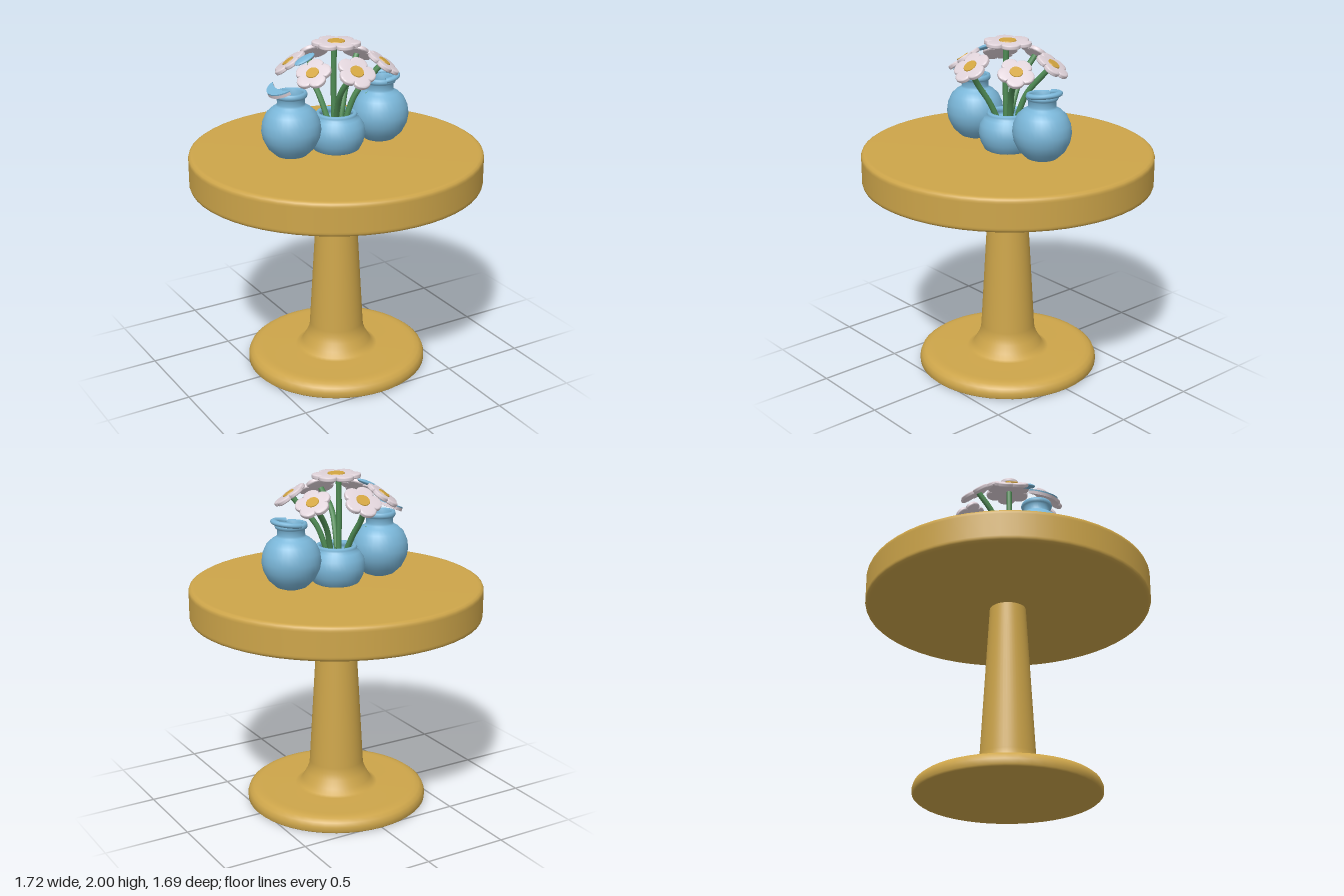
import * as THREE from 'three';
import { toCreasedNormals } from 'three/addons/utils/BufferGeometryUtils.js';

const mat = (name, color, side = THREE.FrontSide) => {
  const m = new THREE.MeshStandardMaterial({ color, side });
  m.name = name;
  return m;
};

export function createModel() {
  const model = new THREE.Group();
  model.name = 'tableWithFlowers';
  const wood = mat('ochre wood', 0xcda54a);
  const blue = mat('blue glaze', 0x7ab6d8, THREE.DoubleSide);
  const green = mat('stem green', 0x4f8c55);
  const petalPink = mat('pale petal', 0xe0d3da);
  const gold = mat('flower gold', 0xd2a540);

  const add = (name, geo, material, parent = model) => {
    const m = new THREE.Mesh(geo, material);
    m.name = name;
    parent.add(m);
    return m;
  };
  const lathe = (pts, seg) => new THREE.LatheGeometry(pts.map(p => new THREE.Vector2(...p)), seg);

  // Round top with a softened edge
  add('tableTop', lathe([[0, 1.16], [0.82, 1.16], [0.84, 1.161], [0.855, 1.168], [0.859, 1.18], [0.859, 1.19],
    [0.859, 1.325], [0.859, 1.335], [0.855, 1.347], [0.842, 1.355], [0.825, 1.356], [0, 1.356]], 56), wood).scale.z = 0.982;

  // Foot disc flowing into the tapered column
  add('pedestal', lathe([[0, 0], [0.51, 0], [0.53, 0.001], [0.54, 0.01], [0.54, 0.04], [0.53, 0.065], [0.508, 0.082],
    [0.48, 0.088], [0.45, 0.089], [0.25, 0.089], [0.225, 0.095], [0.205, 0.125], [0.18, 0.17], [0.166, 0.205],
    [0.162, 0.24], [0.108, 1.17]], 48), wood).scale.z = 0.99;

  // Squat centre vase
  add('centreVase', lathe([[0, 1.357], [0.12, 1.357], [0.135, 1.365], [0.158, 1.41], [0.168, 1.46], [0.16, 1.51],
    [0.135, 1.545], [0.118, 1.558], [0.121, 1.57], [0.115, 1.581], [0.102, 1.582], [0.094, 1.572], [0.094, 1.555],
    [0.11, 1.53], [0, 1.52]], 36), blue);

  // Side vases with round bodies, necks and rolled lips
  const bulb = [[0, 1.36], [0.05, 1.363], [0.09, 1.378], [0.135, 1.42], [0.163, 1.475], [0.172, 1.525], [0.165, 1.575],
    [0.142, 1.625], [0.11, 1.654], [0.084, 1.668], [0.08, 1.68], [0.08, 1.71], [0.09, 1.717], [0.095, 1.73],
    [0.09, 1.745], [0.078, 1.748], [0.068, 1.738], [0.066, 1.7], [0.066, 1.66], [0, 1.62]];
  for (const s of [-1, 1]) {
    const vase = add(s < 0 ? 'rightVase' : 'leftVase', lathe(bulb, 32), blue);
    vase.position.x = s * 0.295;
    vase.scale.z = 0.96;
  }

  // Raised half lip on one vase
  const lipGeo = new THREE.TorusGeometry(0.085, 0.02, 10, 28, Math.PI * 1.2);
  lipGeo.rotateZ(-Math.PI * 0.6).rotateX(-Math.PI / 2);
  const lip = add('raisedLip', lipGeo, blue);
  lip.position.set(0.31, 1.745, 0);
  lip.scale.y = 0.75;
  lip.rotation.z = 0.13;

  // Crescent on the other vase: pale below, blue on top
  const crescentShape = new THREE.Shape();
  crescentShape.absarc(0, 0, 0.1, Math.PI * 0.55, Math.PI * 1.45, false);
  crescentShape.quadraticCurveTo(-0.07, 0, Math.cos(Math.PI * 0.55) * 0.1, Math.sin(Math.PI * 0.55) * 0.1);
  const crescent = new THREE.Group();
  crescent.name = 'crescentPetal';
  crescent.position.set(-0.332, 1.77, 0);
  crescent.rotation.z = 0.4;
  model.add(crescent);
  const slab = (depth, y) => new THREE.ExtrudeGeometry(crescentShape, { depth, bevelEnabled: false, curveSegments: 20 })
    .rotateX(-Math.PI / 2).translate(0, y, 0);
  add('crescentUnderside', slab(0.018, 0), petalPink, crescent);
  add('crescentTop', slab(0.008, 0.018), blue, crescent);

  // Loose blue petal
  const loose = add('loosePetal', new THREE.SphereGeometry(1, 20, 12), blue);
  loose.scale.set(0.067, 0.013, 0.036);
  loose.position.set(-0.205, 1.92, 0);
  loose.rotation.z = 0.4;

  // Flower head: lobed bevelled plate with a gold disc, facing the given normal
  const flower = (name, pos, normal, radius, lobes, turn) => {
    const g = new THREE.Group();
    g.name = name;
    const pts = [];
    for (let i = 0; i < lobes * 12; i++) {
      const a = i / (lobes * 12) * Math.PI * 2;
      const r = (radius - 0.008) * (0.66 + 0.34 * Math.sqrt(Math.abs(Math.cos(a * lobes / 2))));
      pts.push(new THREE.Vector2(Math.cos(a + turn) * r, Math.sin(a + turn) * r));
    }
    const geo = new THREE.ExtrudeGeometry(new THREE.Shape(pts),
      { depth: 0.01, bevelThickness: 0.008, bevelSize: 0.008, bevelSegments: 2 });
    geo.translate(0, 0, -0.005).rotateX(-Math.PI / 2);
    add('petals', toCreasedNormals(geo, 0.9), petalPink, g);
    add('flowerCentre', new THREE.CylinderGeometry(radius * 0.34, radius * 0.37, 0.008, 16), gold, g).position.y = 0.014;
    g.position.set(...pos);
    g.quaternion.setFromUnitVectors(new THREE.Vector3(0, 1, 0), new THREE.Vector3(...normal).normalize());
    model.add(g);
  };
  const stem = (name, pts, r = 0.017) => add(name, new THREE.TubeGeometry(
    new THREE.CatmullRomCurve3(pts.map(p => new THREE.Vector3(...p))), 14, r, 8), green);

  // Top flower and its upright stem
  flower('topFlower', [0, 1.983, 0], [0.02, 1, 0], 0.14, 6, Math.PI / 6);
  stem('topStem', [[-0.015, 1.52, 0], [-0.018, 1.75, 0], [-0.015, 1.975, 0]]);

  // Ring of six outward-leaning flowers
  for (const s of [-1, 1]) {
    flower('endFlower', [-0.02, 1.875, s * 0.25], [0, 1, s * 0.75], 0.112, 5, -s * Math.PI / 2);
    stem('endStem', [[-0.03, 1.52, s * 0.04], [-0.05, 1.65, s * 0.1], [-0.065, 1.75, s * 0.165], [-0.04, 1.865, s * 0.245]]);
    for (const x of [-1, 1])
      flower('sideFlower', [x * 0.228, 1.87, s * 0.135], [x * 0.6, 1, s * 0.36], 0.105, 5, x * 0.5);
    stem('sideStem', [[0.045, 1.52, s * 0.025], [0.065, 1.6, s * 0.035], [0.1, 1.7, s * 0.06], [0.215, 1.86, s * 0.13]]);
    // Short stem lying in the neck of each side vase
    stem('neckStem', [[s * 0.2, 1.65, 0], [s * 0.28, 1.685, 0], [s * 0.36, 1.71, 0]], 0.012);
  }
  return model;
}
